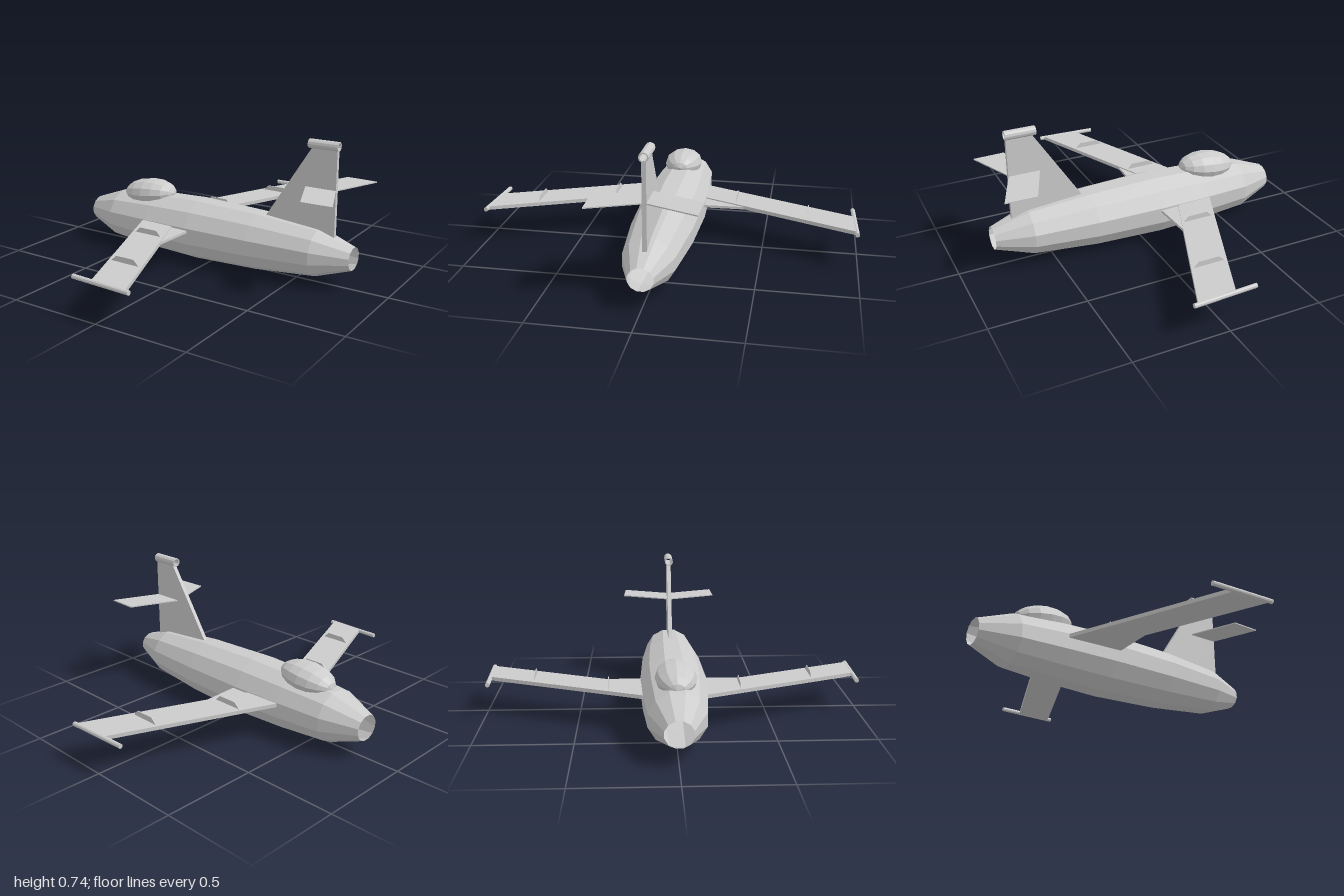
import * as THREE from 'three';

const material = new THREE.MeshStandardMaterial({ color: 0xcccccc, flatShading: true });
const openMaterial = new THREE.MeshStandardMaterial({ color: 0xcccccc, flatShading: true, side: THREE.DoubleSide });

function part(name, geometry, mat = material) {
  const mesh = new THREE.Mesh(geometry, mat);
  mesh.name = name;
  return mesh;
}

// Plate with an outline in x/y, centred on z = 0
function plate(points, thickness) {
  const shape = new THREE.Shape(points.map(([x, y]) => new THREE.Vector2(x, y)));
  return new THREE.ExtrudeGeometry(shape, { depth: thickness, bevelEnabled: false })
    .translate(0, 0, -thickness / 2);
}

// Level plate with an outline in x/z, mirrored by side
function levelPlate(points, thickness, y, side) {
  return plate(points.map(([x, z]) => [x, z * side]), thickness)
    .rotateX(Math.PI / 2).translate(0, y, 0);
}

export function createModel() {
  const model = new THREE.Group();
  model.name = 'jet';

  // Fuselage: twelve-sided tube along x, open at intake and exhaust
  const stations = [
    [-0.81, 0.067], [-0.62, 0.138], [-0.36, 0.158], [-0.09, 0.168],
    [0.28, 0.156], [0.62, 0.125], [0.81, 0.06],
  ];
  const hull = new THREE.LatheGeometry(
    stations.map(([x, r]) => new THREE.Vector2(r, x)), 12, Math.PI / 12);
  hull.rotateZ(-Math.PI / 2).scale(1, 1, 1.07).translate(0, 0.164, 0);
  model.add(part('fuselage', hull, openMaterial));

  // Canopy: low-poly ellipsoid tipped slightly nose-down
  const canopy = new THREE.SphereGeometry(1, 12, 8)
    .rotateZ(Math.PI / 2).scale(0.162, 0.077, 0.105)
    .rotateZ(0.1).translate(-0.435, 0.315, 0);
  model.add(part('canopy', canopy));

  for (const side of [1, -1]) {
    const label = side > 0 ? 'left' : 'right';

    // Swept wing and the fillet behind its root
    model.add(part(label + 'Wing', levelPlate(
      [[-0.37, 0.165], [-0.03, 0.98], [0.168, 0.98], [-0.175, 0.165], [-0.19, 0.13], [-0.37, 0.13]],
      0.02, 0.193, side)));
    model.add(part(label + 'WingFillet', levelPlate(
      [[-0.19, 0.13], [-0.08, 0.395], [-0.07, 0.13]], 0.014, 0.19, side)));

    // Wing fences
    for (const [x, z] of [[-0.2, 0.34], [-0.035, 0.735]]) {
      const fence = plate([[-0.09, 0.195], [-0.05, 0.231], [0.055, 0.231], [0.09, 0.195]], 0.004);
      model.add(part(label + 'WingFence', fence.translate(x, 0, z * side)));
    }

    // Tip rod, toed slightly outward to the rear
    const rod = new THREE.CylinderGeometry(0.012, 0.012, 0.338, 10)
      .rotateZ(-Math.PI / 2).rotateY(-0.045 * side).translate(0.022, 0.193, 0.979 * side);
    model.add(part(label + 'TipRod', rod));

    // Tailplane
    model.add(part(label + 'Tailplane', levelPlate(
      [[0.535, 0], [0.642, 0.268], [0.805, 0.262], [0.7, 0]], 0.006, 0.495, side)));
  }

  // Fin with a hollow tube on top
  model.add(part('fin', plate(
    [[0.29, 0.265], [0.57, 0.7], [0.705, 0.7], [0.705, 0.235], [0.55, 0.25]], 0.022)));
  const tube = new THREE.LatheGeometry(
    [[0.018, -0.08], [0.024, -0.08], [0.024, 0.08], [0.018, 0.08], [0.018, -0.08]]
      .map(([r, x]) => new THREE.Vector2(r, x)), 12);
  model.add(part('finTube', tube.rotateZ(-Math.PI / 2).translate(0.63, 0.717, 0), openMaterial));

  return model;
}
